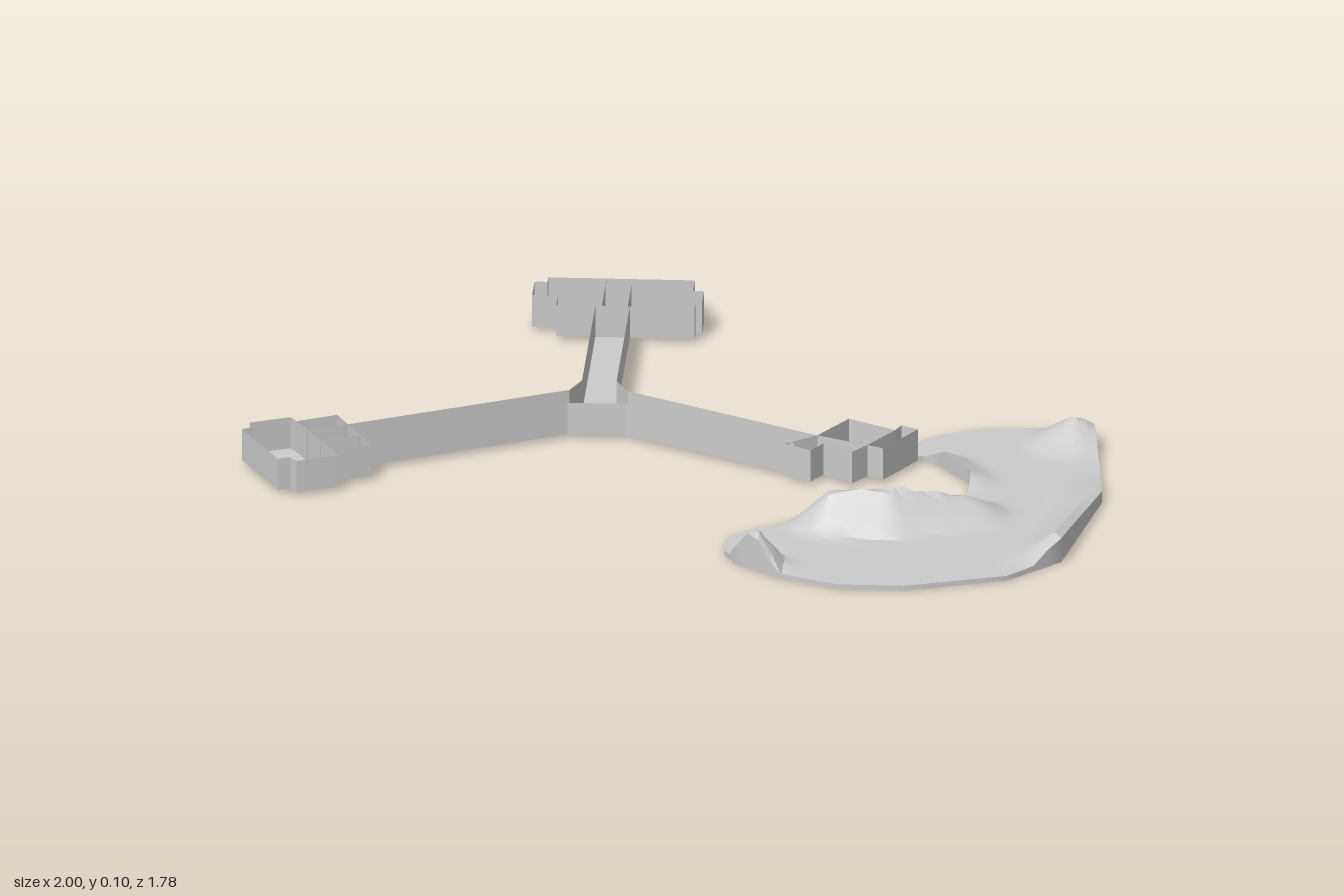
import * as THREE from 'three';
import { toCreasedNormals } from 'three/addons/utils/BufferGeometryUtils.js';

const FLOOR = 0.01, TOP = 0.087;
const material = new THREE.MeshStandardMaterial({ color: 0xcccccc, side: THREE.DoubleSide });
const flat = new THREE.MeshStandardMaterial({ color: 0xcccccc, side: THREE.DoubleSide, flatShading: true });

function addMesh(parent, name, geometry, mat) {
  const mesh = new THREE.Mesh(geometry, mat);
  mesh.name = name;
  parent.add(mesh);
}

// Thin upright walls along a polyline of [x, z] points
function wallGeometry(points) {
  const pos = [];
  for (let i = 0; i < points.length - 1; i++) {
    const [ax, az] = points[i], [bx, bz] = points[i + 1];
    pos.push(ax, FLOOR, az, bx, FLOOR, bz, bx, TOP, bz);
    pos.push(ax, FLOOR, az, bx, TOP, bz, ax, TOP, az);
  }
  const geo = new THREE.BufferGeometry();
  geo.setAttribute('position', new THREE.Float32BufferAttribute(pos, 3));
  geo.computeVertexNormals();
  return geo;
}

// Flat floor filling an outline of [x, z] points
function floorGeometry(points) {
  const shape = new THREE.Shape(points.map(([x, z]) => new THREE.Vector2(x, z)));
  return new THREE.ShapeGeometry(shape).rotateX(Math.PI / 2).translate(0, FLOOR, 0);
}

// Open-topped room: floor, outer walls and partitions
function room(name, outline, partitions) {
  const group = new THREE.Group();
  group.name = name;
  addMesh(group, name + 'Floor', floorGeometry(outline), flat);
  addMesh(group, name + 'Walls', wallGeometry([...outline, outline[0]]), flat);
  for (const line of partitions) addMesh(group, name + 'Partition', wallGeometry(line), flat);
  return group;
}

// Three corridors meeting in a hub, open at the far ends
function corridors() {
  const group = new THREE.Group();
  group.name = 'corridors';
  const sides = [
    [[-0.235, -0.715], [-0.235, -0.22], [-0.26, -0.155], [-0.77, 0.11]],
    [[-0.73, 0.18], [-0.26, -0.07], [-0.125, -0.07], [0.28, 0.165]],
    [[0.33, 0.11], [-0.125, -0.155], [-0.155, -0.22], [-0.155, -0.715]],
  ];
  addMesh(group, 'corridorFloor', floorGeometry(sides.flat()), flat);
  for (const side of sides) addMesh(group, 'corridorWall', wallGeometry(side), flat);
  return group;
}

// Peaks and ridges: x1, z1, x2, z2, height1, height2, radius
const RIDGES = [
  [0.225, 0.75, 0.225, 0.765, 0.09, 0.093, 0.075],
  [0.39, 0.5, 0.52, 0.485, 0.096, 0.1, 0.1],
  [0.52, 0.485, 0.7, 0.42, 0.1, 0.05, 0.1],
  [0.915, 0.67, 0.98, 0.25, 0.058, 0.02, 0.09],
  [0.91, -0.08, 0.92, -0.08, 0.066, 0.066, 0.11],
  [0.62, 0.1, 0.68, 0.2, 0.04, 0.03, 0.08],
];

function terrainHeight(x, z) {
  let h = 0;
  for (const [x1, z1, x2, z2, h1, h2, r] of RIDGES) {
    const dx = x2 - x1, dz = z2 - z1;
    const t = THREE.MathUtils.clamp(((x - x1) * dx + (z - z1) * dz) / (dx * dx + dz * dz), 0, 1);
    const d = Math.hypot(x - x1 - t * dx, z - z1 - t * dz);
    h = Math.max(h, (h1 + (h2 - h1) * t) * Math.max(0, 1 - d / r));
  }
  return 0.012 + h;
}

// Crescent of land, lofted between its outer and inner shore
function islandGeometry() {
  // Outer x, z and inner x, z at each station
  const stations = [
    [0.53, 0.03, 0.54, 0.04], [0.53, -0.04, 0.57, 0.03], [0.59, -0.1, 0.6, 0.05],
    [0.69, -0.16, 0.62, 0.08], [0.82, -0.17, 0.64, 0.11], [0.92, -0.14, 0.66, 0.14],
    [0.96, -0.1, 0.68, 0.17], [0.98, 0.05, 0.69, 0.19], [1, 0.28, 0.69, 0.25],
    [0.97, 0.45, 0.68, 0.32], [0.93, 0.68, 0.67, 0.37], [0.81, 0.81, 0.62, 0.42],
    [0.58, 0.89, 0.55, 0.415], [0.43, 0.89, 0.46, 0.41], [0.29, 0.83, 0.31, 0.46],
    [0.18, 0.74, 0.2, 0.54], [0.15, 0.68, 0.16, 0.58], [0.15, 0.62, 0.15, 0.6],
  ];
  const STEPS = 4, ACROSS = 16, pos = [], index = [];
  const rows = (stations.length - 1) * STEPS + 1, ring = ACROSS + 3;
  for (let r = 0; r < rows; r++) {
    const i = Math.min(Math.floor(r / STEPS), stations.length - 2), f = r / STEPS - i;
    const [ox, oz, ix, iz] = stations[i].map((v, k) => v + (stations[i + 1][k] - v) * f);
    pos.push(ox, 0, oz);
    for (let a = 0; a <= ACROSS; a++) {
      const u = a / ACROSS, x = ox + (ix - ox) * u, z = oz + (iz - oz) * u;
      pos.push(x, terrainHeight(x, z), z);
    }
    pos.push(ix, 0, iz);
  }
  for (let r = 0; r < rows - 1; r++) {
    for (let k = 0; k < ring; k++) {
      const a = r * ring + k, b = r * ring + (k + 1) % ring;
      index.push(a, b, b + ring, a, b + ring, a + ring);
    }
  }
  const geo = new THREE.BufferGeometry();
  geo.setAttribute('position', new THREE.Float32BufferAttribute(pos, 3));
  geo.setIndex(index);
  return toCreasedNormals(geo, 0.6);
}

export function createModel() {
  const model = new THREE.Group();
  model.name = 'islandAndCorridors';
  model.add(corridors());

  model.add(room('backRoom', [
    [-0.385, -0.865], [-0.355, -0.865], [-0.355, -0.895], [-0.015, -0.895], [-0.015, -0.825], [0.01, -0.825],
    [0.01, -0.75], [-0.005, -0.75], [-0.005, -0.715], [-0.325, -0.715], [-0.325, -0.77], [-0.385, -0.77],
  ], [
    [[-0.385, -0.775], [-0.22, -0.775], [-0.22, -0.895]],
    [[-0.22, -0.86], [-0.16, -0.86], [-0.16, -0.715]],
    [[-0.22, -0.775], [-0.22, -0.715]],
  ]));

  model.add(room('rightRoom', [
    [-0.985, 0.107], [-0.893, 0.064], [-0.877, 0.09], [-0.786, 0.043], [-0.695, 0.235], [-0.78, 0.278],
    [-0.765, 0.31], [-0.861, 0.353], [-0.877, 0.33], [-0.904, 0.342], [-1, 0.15], [-0.975, 0.135],
  ], [
    [[-0.877, 0.09], [-0.78, 0.278]],
    [[-0.77, 0.11], [-0.85, 0.15]],
    [[-0.73, 0.18], [-0.815, 0.215]],
  ]));

  model.add(room('leftRoom', [
    [0.396, -0.005], [0.508, 0.064], [0.52, 0.032], [0.56, 0.055], [0.487, 0.187], [0.45, 0.166],
    [0.417, 0.214], [0.348, 0.16], [0.32, 0.21], [0.257, 0.17], [0.33, 0.11],
  ], [
    [[0.508, 0.064], [0.45, 0.166]],
    [[0.33, 0.11], [0.45, 0.166]],
  ]));

  addMesh(model, 'island', islandGeometry(), material);
  return model;
}
